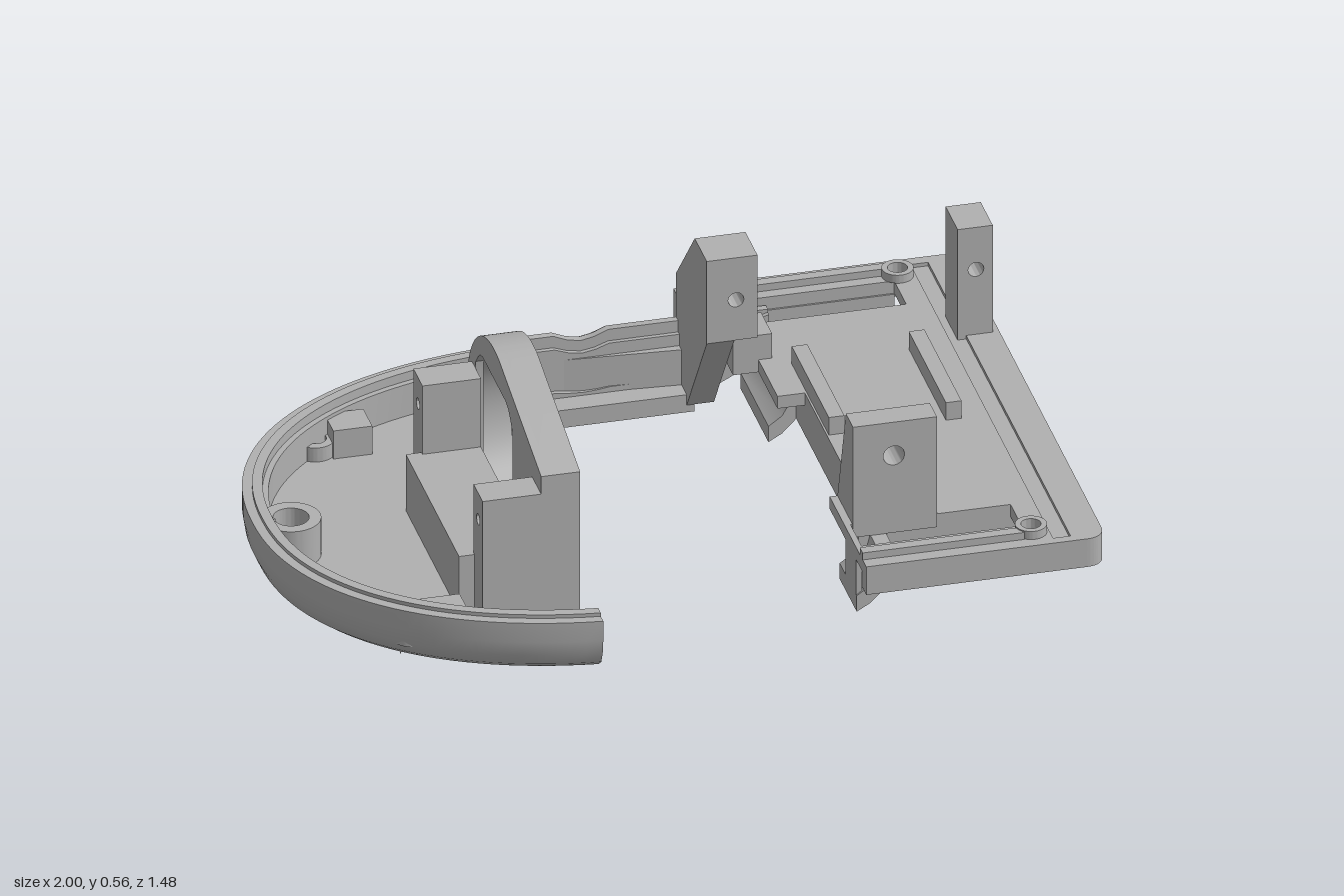
import * as THREE from 'three';
import { toCreasedNormals } from 'three/addons/utils/BufferGeometryUtils.js';

const gray = new THREE.MeshStandardMaterial({ color: 0xb0b0b0 });
gray.name = 'plain gray';

export function createModel() {
  const model = new THREE.Group();
  model.name = 'two part housing';

  const add = (name, geometry) => {
    const mesh = new THREE.Mesh(toCreasedNormals(geometry, 0.5), gray);
    mesh.name = name;
    model.add(mesh);
    return mesh;
  };
  const box = (name, x0, x1, y0, y1, z0, z1) => add(name,
    new THREE.BoxGeometry(x1 - x0, y1 - y0, z1 - z0).translate((x0 + x1) / 2, (y0 + y1) / 2, (z0 + z1) / 2));
  const poly = (pts) => new THREE.Shape(pts.map((p) => new THREE.Vector2(...p)));
  const rect = (a0, a1, b0, b1) => poly([[a0, b0], [a1, b0], [a1, b1], [a0, b1]]);
  const disc = (a, b, r) => new THREE.Shape().absarc(a, b, r, 0, Math.PI * 2, false);
  const cut = (shape, ...holes) => { shape.holes.push(...holes); return shape; };
  const extrude = (shape, depth) =>
    new THREE.ExtrudeGeometry(shape, { depth, bevelEnabled: false, curveSegments: 32 });
  // Shapes drawn as (z, y), (x, z) and (x, y)
  const alongX = (shape, x0, x1) => extrude(shape, x1 - x0).rotateY(-Math.PI / 2).translate(x1, 0, 0);
  const alongY = (shape, y0, y1) => extrude(shape, y1 - y0).rotateX(Math.PI / 2).translate(0, y1, 0);
  const alongZ = (shape, z0, z1) => extrude(shape, z1 - z0).translate(0, 0, z0);

  // Closed skin over equal sized cross-sections, with capped ends
  function loft(sections, profile) {
    const n = profile.length, last = (sections.length - 1) * n, index = [];
    for (let i = 0; i < sections.length - 1; i++) {
      for (let j = 0; j < n; j++) {
        const a = i * n + j, b = i * n + (j + 1) % n;
        index.push(a, b, a + n, b, b + n, a + n);
      }
    }
    const caps = THREE.ShapeUtils.triangulateShape(profile.map((p) => new THREE.Vector2(...p)), []);
    const ccw = THREE.ShapeUtils.area(profile.map((p) => new THREE.Vector2(...p))) > 0;
    for (const t of caps) {
      const [a, b, c] = ccw ? [t[0], t[2], t[1]] : [t[0], t[2], t[1]];
      index.push(a, b, c, last + a, last + c, last + b);
    }
    const v = sections.flat();
    let volume = 0;
    for (let i = 0; i < index.length; i += 3) {
      volume += v[index[i]].dot(v[index[i + 1]].clone().cross(v[index[i + 2]]));
    }
    if (volume < 0) index.reverse();
    const g = new THREE.BufferGeometry().setFromPoints(v);
    g.setIndex(index);
    g.computeVertexNormals();
    return g;
  }

  // Tray wall: rounded section (inset, height) swept round a half oval
  const wall = [[0.08, 0], [0.045, 0.008], [0.02, 0.028], [0.006, 0.06], [0, 0.1], [0, 0.155], [0.025, 0.155],
    [0.025, 0.165], [0.05, 0.165], [0.05, 0.14], [0.065, 0.14], [0.065, 0.05], [0.08, 0.05]];
  const oval = (t, d) => {
    const c = Math.cos(t), s = Math.sin(t), e = 2 / 2.2;
    return [-0.1 - (0.9 - d) * Math.abs(c) ** e, Math.sign(s) * (0.71 - d) * Math.abs(s) ** e];
  };
  const endAngle = (x, d) => Math.acos(((-0.1 - x) / (0.9 - d)) ** 1.1);
  const traySections = [];
  for (let i = 0; i <= 64; i++) {
    const f = i / 64;
    traySections.push(wall.map(([d, y]) => {
      const a = endAngle(-0.28, d), b = -endAngle(-0.2, d);
      const [x, z] = oval(a + (b - a) * f, d);
      return new THREE.Vector3(x, y, z);
    }));
  }
  add('trayWall', loft(traySections, wall));

  // Tray floor with screw holes
  const floorPts = [];
  for (let i = 0; i <= 48; i++) {
    const a = endAngle(-0.28, 0.075);
    floorPts.push(oval(a - 2 * a * i / 48, 0.075));
  }
  const screws = [[-0.715, 0.48, 0.028], [-0.715, -0.48, 0.028], [-0.9, 0, 0.02]];
  add('trayFloor', alongY(cut(poly(floorPts), ...screws.map((s) => disc(...s))), 0, 0.05));
  add('rearBoss', alongY(cut(disc(-0.9, 0, 0.075), disc(-0.9, 0, 0.045)), 0.05, 0.155));
  add('rearBossSeat', alongY(cut(disc(-0.9, 0, 0.045), disc(-0.9, 0, 0.02)), 0.05, 0.1));
  for (const s of [-1, 1]) {
    add('sideBoss', alongY(cut(disc(-0.715, s * 0.48, 0.05), disc(-0.715, s * 0.48, 0.028)), 0.05, 0.09));
    box('trayClip', -0.68, -0.58, 0.05, 0.13, s * 0.48 - 0.045, s * 0.48 + 0.045);
  }

  // Round holder standing on the tray
  const holder = () => {
    const h = poly([[-0.275, 0], [0.47, 0], [0.47, 0.455], [0.05, 0.556]]);
    h.absarc(0, 0.285, 0.275, Math.PI * 0.45, Math.PI, false);
    return h;
  };
  const bore = disc(0, 0.285, 0.23);
  const windowPts = [];
  for (let i = 0; i < 48; i++) {
    const t = i / 24 * Math.PI;
    windowPts.push([THREE.MathUtils.clamp(0.23 * Math.cos(t), -0.185, 0.185),
      Math.min(0.475, 0.285 + 0.23 * Math.sin(t))]);
  }
  add('holderRing', alongX(cut(holder(), bore), -0.36, -0.28));
  add('holderBack', alongX(cut(holder(), poly(windowPts)), -0.38, -0.36));
  for (const z of [-0.22, 0.38]) {
    add('holderPost', alongX(cut(rect(z, z + 0.09, 0.04, 0.405), disc(z + 0.045, 0.33, 0.015)), -0.53, -0.38));
  }
  box('holderStep', -0.57, -0.38, 0.04, 0.21, -0.14, 0.39);

  // Bridge along the back, its underside rising to the plate
  const bridgeSections = [];
  const rise = [[-0.2, 0, 0.17], [-0.18, 0, 0.215], [-0.07, 0, 0.215], [-0.035, 0, 0.2], [0, 0, 0.193],
    [0.035, 0, 0.2], [0.07, 0, 0.215], [0.24, 0, 0.215], [0.32, 0.02, 0.215], [0.38, 0.05, 0.215],
    [0.45, 0.105, 0.215], [0.48, 0.155, 0.215]];
  for (const [x, low, top] of rise) {
    bridgeSections.push(wall.map(([d, y]) => new THREE.Vector3(x, low + y / 0.165 * (top - low), -0.655 + d * 0.8)));
  }
  add('bridgeWall', loft(bridgeSections, wall));
  box('bridgeFloor', -0.285, 0.27, 0, 0.05, -0.6, -0.53);
  box('bridgeCorner', -0.285, -0.18, 0, 0.05, -0.64, -0.53);
  add('bridgeRib', alongY(poly([[-0.28, -0.63], [-0.28, -0.62], [0.27, -0.58], [0.27, -0.61]]), 0.04, 0.15));

  // Main plate, with slots, screw holes and a shallow groove
  const plate = () => {
    const p = new THREE.Shape();
    p.moveTo(0.385, 0.735).lineTo(0.95, 0.735).quadraticCurveTo(0.995, 0.735, 1, 0.69);
    p.lineTo(1, -0.695).quadraticCurveTo(0.995, -0.74, 0.95, -0.74);
    for (const q of [[0.27, -0.74], [0.27, -0.64], [0.81, -0.64], [0.81, -0.52], [0.385, -0.52],
      [0.385, -0.15], [0.455, -0.15], [0.455, 0.37], [0.385, 0.37]]) p.lineTo(...q);
    return cut(p, rect(0.4, 0.81, 0.52, 0.63), disc(0.825, 0.665, 0.025), disc(0.825, -0.665, 0.025));
  };
  add('plateLower', alongY(plate(), 0.2, 0.225));
  add('plateTop', alongY(cut(plate(), rect(0.87, 0.915, -0.71, 0.71)), 0.225, 0.235));

  // Rim hanging round the plate underside
  const rim = new THREE.Shape();
  rim.moveTo(0.385, 0.735).lineTo(0.95, 0.735).quadraticCurveTo(0.995, 0.735, 1, 0.69);
  rim.lineTo(1, -0.695).quadraticCurveTo(0.995, -0.74, 0.95, -0.74);
  for (const q of [[0.27, -0.74], [0.27, -0.7], [0.96, -0.7], [0.96, 0.695], [0.385, 0.695]]) rim.lineTo(...q);
  add('plateRim', alongY(rim, 0.155, 0.2));
  for (const s of [-1, 1]) {
    const x0 = s < 0 ? 0.28 : 0.385;
    box('edgeRail', x0, 0.8, 0.235, 0.255, s * 0.685 - 0.014, s * 0.685 + 0.014);
    box('slotRib', 0.42, 0.83, 0.16, 0.2, s * 0.505 - 0.015, s * 0.505 + 0.015);
    box('slotLedge', 0.42, 0.81, 0.16, 0.2, s * 0.65 - 0.015, s * 0.65 + 0.015);
    add('plateBoss', alongY(cut(disc(0.825, s * 0.665, 0.04), disc(0.825, s * 0.665, 0.025)), 0.235, 0.258));
  }

  // Curved lip below the inner edge of the plate
  const deepLip = poly([[0.385, 0.055], [0.42, 0.075], [0.45, 0.105], [0.475, 0.14], [0.49, 0.2], [0.45, 0.2],
    [0.44, 0.16], [0.42, 0.125], [0.385, 0.1]]);
  const shortLip = poly([[0.455, 0.115], [0.475, 0.14], [0.49, 0.2], [0.455, 0.2]]);
  add('lipRear', alongZ(deepLip, -0.52, -0.24));
  add('lipMiddle', alongZ(shortLip, -0.24, 0.47));
  add('lipFront', alongZ(deepLip, 0.47, 0.64));
  box('lipHook', 0.385, 0.4, 0.065, 0.2, 0.53, 0.635);

  // Guide bars on the plate
  for (const x of [0.46, 0.76]) box('guideBar', x, x + 0.04, 0.23, 0.285, -0.3, 0.07);

  // Front bearing block, its inner face sloping
  const block = alongZ(cut(rect(0.405, 0.62, 0.2, 0.515), disc(0.51, 0.42, 0.027)), 0.37, 0.525);
  const pos = block.attributes.position;
  for (let i = 0; i < pos.count; i++) {
    if (pos.getZ(i) < 0.4) pos.setZ(i, 0.37 + (pos.getY(i) - 0.235) * 0.3);
  }
  block.computeVertexNormals();
  add('frontBearing', block);

  // Corner post and rear bracket
  add('cornerPost', alongZ(cut(rect(0.893, 0.983, 0.2, 0.54), disc(0.94, 0.42, 0.02)), -0.45, -0.33));
  add('bracketHead', alongZ(cut(rect(0.25, 0.38, 0.305, 0.54), disc(0.325, 0.42, 0.02)), -0.45, -0.33));
  add('bracketArm', alongX(poly([[-0.45, 0.54], [-0.635, 0.34], [-0.635, 0.02], [-0.53, 0.02],
    [-0.33, 0.305], [-0.45, 0.305]]), 0.25, 0.32));
  box('bracketFoot', 0.32, 0.42, 0.2, 0.305, -0.45, -0.34);
  return model;
}
